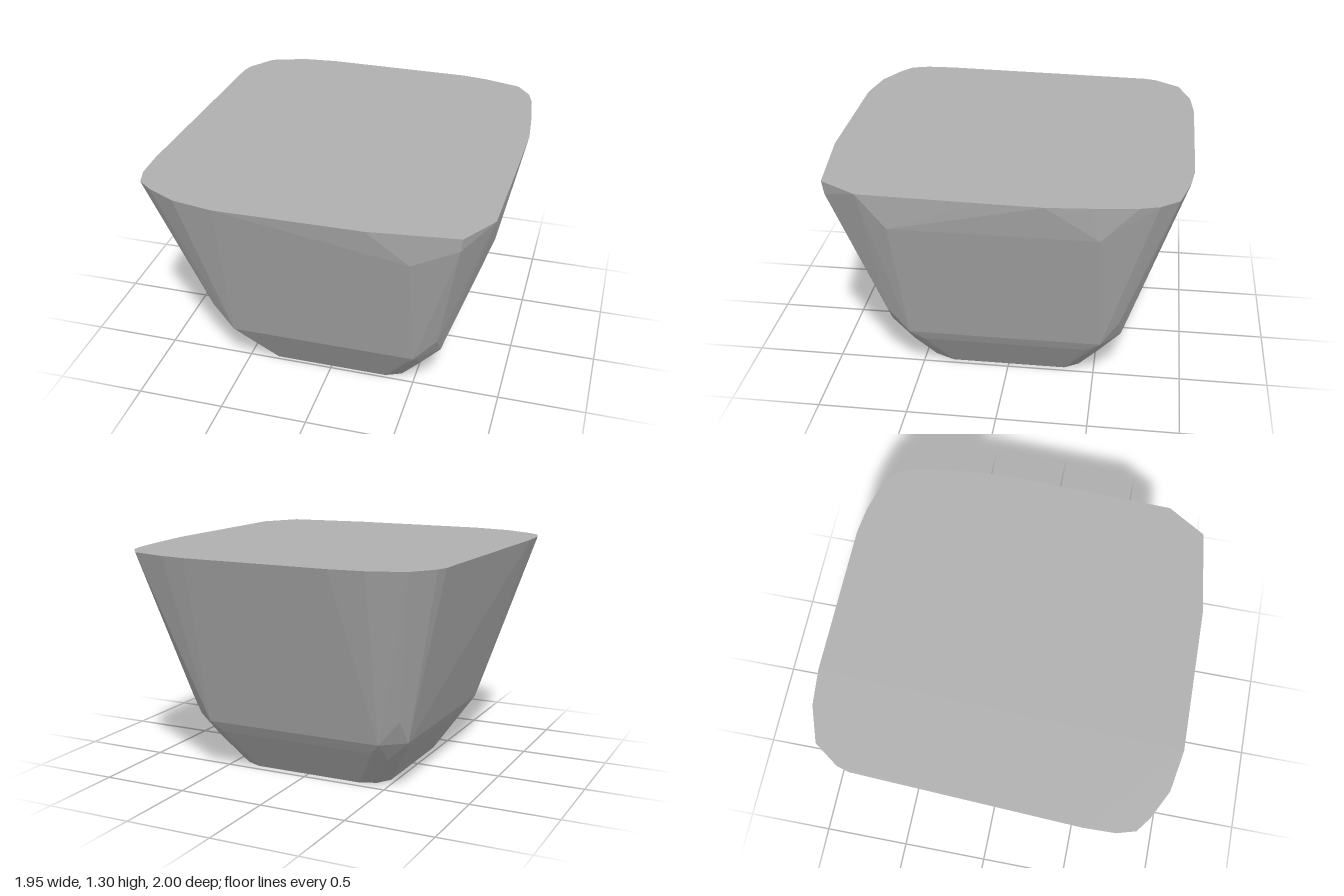
import * as THREE from 'three';
import { ConvexGeometry } from 'three/addons/geometries/ConvexGeometry.js';

// Turns a list of [x, z] pairs into points at one height
const ring = (y, pairs) => pairs.map(([x, z]) => new THREE.Vector3(x, y, z));

// Chamfered rectangle: half width, front and back depth, length of the straight edges
const octagon = (y, w, front, back, ex, ez) => ring(y, [
  [ex, front], [w, ez], [w, -ez], [ex, back],
  [-ex, back], [-w, -ez], [-w, ez], [-ex, front],
]);

export function createModel() {
  const group = new THREE.Group();
  const stone = new THREE.MeshStandardMaterial({ color: 0xb0b0b0 });
  stone.name = 'grey stone';

  const points = [
    // foot
    ...octagon(0, 0.47, 0.48, -0.45, 0.33, 0.33),
    ...ring(0, [[0.42, 0.44], [0.42, -0.41], [-0.42, -0.41], [-0.41, 0.44]]),
    // bevel between foot and walls
    ...ring(0.19, [[0.55, 0.54], [0.54, -0.53], [-0.54, -0.53], [-0.55, 0.54]]),
    ...octagon(0.24, 0.625, 0.63, -0.61, 0.47, 0.46),
    ...octagon(0.305, 0.66, 0.67, -0.65, 0.53, 0.54),
    // lower ends of the corner chamfers
    ...ring(0.45, [[0.66, 0.66], [0.65, -0.64], [-0.65, -0.64], [-0.65, 0.66]]),
    // bends just below the rim
    ...ring(1.1, [[0.55, 0.935], [0.92, 0.57], [0.92, -0.53]]),
    ...ring(1.22, [[0.8, 0.92]]),
    // uneven rounded rim
    ...ring(1.3, [
      [-0.4, -1], [0.45, -0.995], [0.6, -0.975], [0.81, -0.92], [0.89, -0.82],
      [0.92, -0.72], [0.95, -0.48], [0.97, -0.25], [0.96, 0.1], [0.94, 0.72],
      [0.81, 0.93], [0.33, 0.99], [-0.47, 1], [-0.7, 0.96], [-0.86, 0.88],
      [-0.94, 0.82], [-0.97, 0.72], [-0.975, 0.55], [-0.95, 0], [-0.92, -0.7],
      [-0.9, -0.77], [-0.8, -0.91], [-0.6, -0.98],
    ]),
  ];

  // faceted block that narrows downwards
  const block = new THREE.Mesh(new ConvexGeometry(points), stone);
  block.name = 'taperedBlock';
  group.add(block);
  return group;
}
